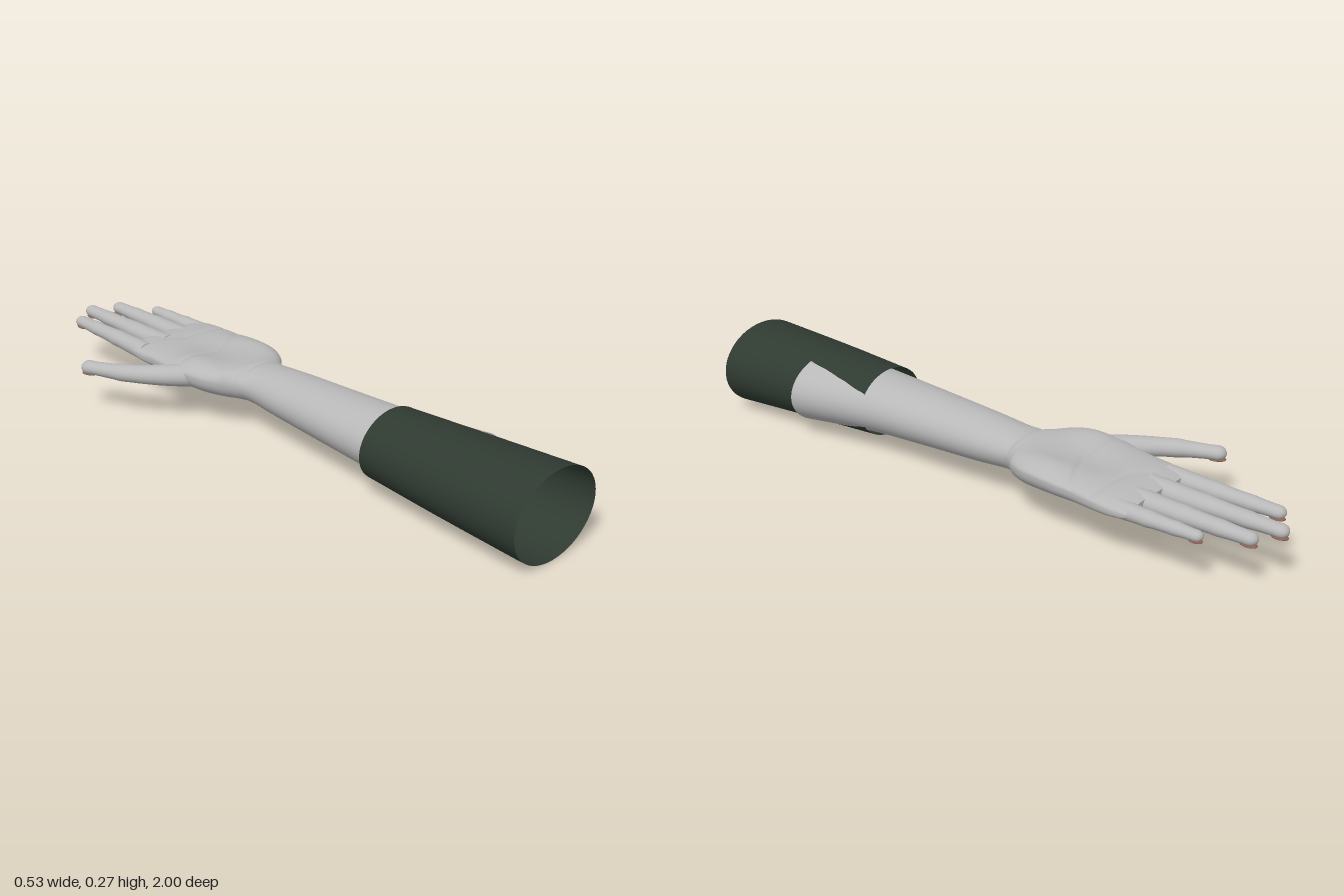
import * as THREE from 'three';

const skin = new THREE.MeshStandardMaterial({ color: 0xb8b8b8 });
skin.name = 'skin';
const cloth = new THREE.MeshStandardMaterial({ color: 0x2f3a31, side: THREE.DoubleSide });
cloth.name = 'sleeve cloth';
const nailTone = new THREE.MeshStandardMaterial({ color: 0x8f6052 });
nailTone.name = 'nail';

const power = (v, e) => Math.sign(v) * Math.pow(Math.abs(v), e);

// Smooth interpolation between neighbouring cross-section rows
function refine(rows, steps) {
  const out = [];
  for (let i = 0; i < rows.length - 1; i++) {
    const p = [rows[Math.max(i - 1, 0)], rows[i], rows[i + 1], rows[Math.min(i + 2, rows.length - 1)]];
    for (let s = 0; s < steps; s++) {
      const t = s / steps;
      out.push(rows[i].map((_, k) => {
        const [a, b, c, d] = p.map((r) => r[k]);
        return b + 0.5 * t * (c - a + t * (2 * a - 5 * b + 4 * c - d + t * (3 * (b - c) + d - a)));
      }));
    }
  }
  out.push(rows[rows.length - 1]);
  return out;
}

// Skin a list of rings that run from front to back; caps have their own vertices
function loft(rings, capped) {
  const n = rings[0].length;
  const points = rings.flat();
  const index = [];
  for (let i = 0; i < rings.length - 1; i++) {
    for (let j = 0; j < n; j++) {
      const a = i * n + j, b = i * n + (j + 1) % n;
      index.push(a, a + n, b, b, a + n, b + n);
    }
  }
  if (capped) {
    [rings[0], rings[rings.length - 1]].forEach((ring, end) => {
      const start = points.length;
      const mid = ring.reduce((m, p) => m.add(p), new THREE.Vector3()).divideScalar(n);
      points.push(...ring, mid);
      for (let j = 0; j < n; j++) {
        const a = start + j, b = start + (j + 1) % n;
        if (end) index.push(start + n, b, a);
        else index.push(start + n, a, b);
      }
    });
  }
  const geometry = new THREE.BufferGeometry().setFromPoints(points);
  geometry.setIndex(index);
  geometry.computeVertexNormals();
  return geometry;
}

// Row: z, left x, right x, bottom y, top y, height of the widest line, roundness
function ringFromRow([z, x0, x1, y0, y1, cy, e], n, relief) {
  return Array.from({ length: n }, (_, j) => {
    const a = (j / n) * Math.PI * 2;
    const c = power(Math.cos(a), e), s = power(Math.sin(a), e);
    const x = (x0 + x1) / 2 + (x1 - x0) / 2 * c;
    let y = cy + (s > 0 ? y1 - cy : cy - y0) * s;
    if (relief && s > 0) y += relief(x, z) * Math.min(1, s * 1.5);
    return new THREE.Vector3(x, y, z);
  });
}

// Palm pads and creases
const bump = (x, z, cx, cz, wx, wz) => Math.exp(-(((x - cx) / wx) ** 2) - ((z - cz) / wz) ** 2);
const creases = [
  [-0.06, -0.35, 0.08, -0.35], [0.08, -0.35, 0.25, -0.43],
  [0.03, -0.56, 0.1, -0.51], [0.1, -0.51, 0.25, -0.5],
  [0.01, -0.15, 0.18, -0.15],
];
function palmRelief(x, z) {
  if (z > -0.05) return 0;
  let h = 0.016 * bump(x, z, -0.035, -0.29, 0.06, 0.09) + 0.012 * bump(x, z, 0.2, -0.3, 0.05, 0.1);
  h -= 0.008 * bump(x, z, 0.09, -0.4, 0.06, 0.1);
  for (const [ax, az, bx, bz] of creases) {
    const dx = bx - ax, dz = bz - az;
    const t = THREE.MathUtils.clamp(((x - ax) * dx + (z - az) * dz) / (dx * dx + dz * dz), 0, 1);
    const d = Math.hypot(x - ax - dx * t, z - az - dz * t);
    h -= 0.004 * Math.exp(-((d / 0.008) ** 2));
  }
  return h;
}

// Digit: swept flattened ovals with knuckle swellings and a rounded tip
function digit(name, path, r0, r1, y0, y1, knuckles) {
  const group = new THREE.Group();
  group.name = name;
  const curve = new THREE.CatmullRomCurve3(path.map(([x, z], i) =>
    new THREE.Vector3(x, y0 + (y1 - y0) * i / (path.length - 1), z)));
  const length = curve.getLength();
  const tipStart = 1 - r1 / length;
  const stations = [];
  for (let i = 0; i <= 26; i++) stations.push([i / 26 * tipStart, 1]);
  for (let i = 1; i <= 8; i++) {
    const a = (i / 8) * Math.PI / 2;
    stations.push([tipStart + (1 - tipStart) * Math.sin(a), Math.max(Math.cos(a), 0.02)]);
  }
  const frame = (u) => {
    const t = curve.getTangentAt(u);
    return { center: curve.getPointAt(u), side: new THREE.Vector3(-t.z, 0, t.x).normalize() };
  };
  const rings = stations.map(([u, round]) => {
    const { center, side } = frame(u);
    let r = r0 + (r1 - r0) * Math.min(1, u / 0.9);
    for (const k of knuckles) r += 0.0018 * Math.exp(-(((u - k) / 0.05) ** 2));
    return Array.from({ length: 20 }, (_, j) => {
      const a = (j / 20) * Math.PI * 2;
      return center.clone().addScaledVector(side, Math.cos(a) * r * round)
        .add(new THREE.Vector3(0, Math.sin(a) * r * round * 0.85, 0));
    });
  });
  const flesh = new THREE.Mesh(loft(rings, true), skin);
  flesh.name = name + 'Flesh';
  group.add(flesh);

  // Nail on the underside of the tip
  const u = 1 - r1 * 1.15 / length;
  const { center, side } = frame(u);
  const nail = new THREE.Mesh(new THREE.SphereGeometry(1, 16, 10), nailTone);
  nail.name = name + 'Nail';
  nail.scale.set(r1 * 0.75, 0.0048, r1 * 1.15);
  nail.position.copy(center).y -= r1 * 0.85 - 0.001;
  nail.rotation.y = Math.atan2(-side.z, side.x);
  group.add(nail);
  return group;
}

export function createModel() {
  const model = new THREE.Group();
  model.name = 'armWithSleeve';

  // Forearm, wrist and palm in one skin, palm facing up
  const armRows = [
    [0.68, -0.051, 0.265, 0.027, 0.248, 0.137, 1],
    [0.42, -0.032, 0.218, 0.05, 0.235, 0.142, 1],
    [0.2, -0.018, 0.2, 0.063, 0.226, 0.145, 1],
    [0, -0.006, 0.19, 0.075, 0.217, 0.147, 1],
    [-0.12, 0.0, 0.183, 0.085, 0.208, 0.15, 1],
    [-0.165, -0.022, 0.2, 0.088, 0.203, 0.155, 0.96],
    [-0.2, -0.055, 0.228, 0.09, 0.2, 0.163, 0.92],
    [-0.25, -0.08, 0.249, 0.092, 0.198, 0.168, 0.88],
    [-0.31, -0.091, 0.257, 0.096, 0.196, 0.17, 0.85],
    [-0.37, -0.09, 0.259, 0.1, 0.195, 0.168, 0.82],
    [-0.43, -0.082, 0.256, 0.105, 0.193, 0.163, 0.78],
    [-0.49, -0.075, 0.259, 0.112, 0.19, 0.158, 0.72],
    [-0.55, -0.074, 0.262, 0.118, 0.185, 0.154, 0.7],
    [-0.6, -0.066, 0.257, 0.124, 0.179, 0.152, 0.7],
    [-0.622, -0.06, 0.25, 0.132, 0.172, 0.152, 0.7],
  ];
  const arm = new THREE.Mesh(
    loft(refine(armRows, 8).map((r) => ringFromRow(r, 72, palmRelief)), true), skin);
  arm.name = 'forearmAndPalm';
  model.add(arm);

  // Open tapered sleeve
  const sleeveRows = [
    [1, -0.08, 0.264, 0, 0.273, 0.137, 1],
    [0.95, -0.079, 0.26, 0.003, 0.271, 0.137, 1],
    [0.68, -0.068, 0.236, 0.019, 0.261, 0.139, 1],
    [0.42, -0.05, 0.212, 0.033, 0.25, 0.141, 1],
  ];
  const sleeve = new THREE.Mesh(
    loft(refine(sleeveRows, 4).map((r) => ringFromRow(r, 48)), false), cloth);
  sleeve.name = 'sleeve';
  model.add(sleeve);

  // Fingers and thumb
  const joints = [0.42, 0.72];
  model.add(
    digit('indexFinger', [[-0.033, -0.56], [-0.03, -0.75], [-0.031, -0.94]], 0.035, 0.022, 0.152, 0.154, joints),
    digit('middleFinger', [[0.055, -0.56], [0.056, -0.78], [0.055, -1]], 0.039, 0.023, 0.152, 0.153, joints),
    digit('ringFinger', [[0.142, -0.56], [0.144, -0.76], [0.143, -0.96]], 0.037, 0.023, 0.152, 0.153, joints),
    digit('littleFinger', [[0.22, -0.55], [0.221, -0.7], [0.22, -0.842]], 0.032, 0.019, 0.151, 0.153, joints),
    digit('thumb', [[-0.03, -0.3], [-0.105, -0.365], [-0.185, -0.465], [-0.255, -0.612]],
      0.045, 0.024, 0.156, 0.151, [0.62, 0.93]),
  );
  return model;
}
